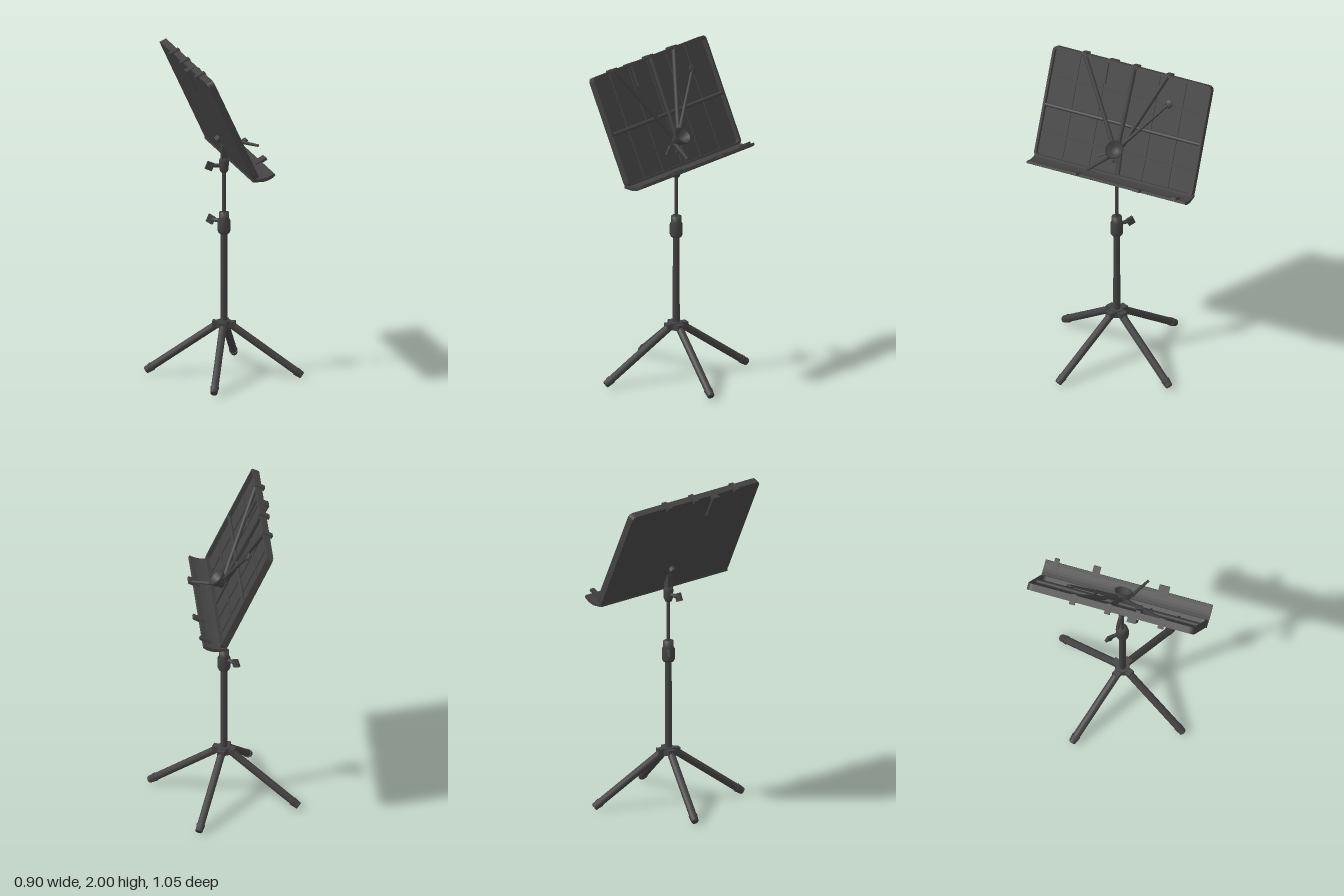
import * as THREE from 'three';

export function createModel() {
  const stand = new THREE.Group();
  stand.name = 'musicStand';
  const metal = new THREE.MeshStandardMaterial({ color: 0x424242 });
  metal.name = 'dark grey metal';
  const V = (x, y, z) => new THREE.Vector3(x, y, z);

  const add = (parent, name, geo, x = 0, y = 0, z = 0) => {
    const m = new THREE.Mesh(geo, metal);
    m.name = name;
    m.position.set(x, y, z);
    parent.add(m);
    return m;
  };
  // Round bar from a to b
  const bar = (parent, name, a, b, rA, rB = rA, sides = 10) => {
    const d = b.clone().sub(a);
    const m = add(parent, name, new THREE.CylinderGeometry(rB, rA, d.length(), sides));
    m.position.copy(a).addScaledVector(d, 0.5);
    m.quaternion.setFromUnitVectors(V(0, 1, 0), d.normalize());
    return m;
  };
  const lathe = (pts, sides = 16) =>
    new THREE.LatheGeometry(pts.map(p => new THREE.Vector2(p[0], p[1])), sides);

  // Four splayed legs with rubber feet
  const hubY = 0.335;
  for (let i = 0; i < 4; i++) {
    const a = -0.41 - i * Math.PI / 2;
    const at = (r, y) => V(Math.cos(a) * r, y, -Math.sin(a) * r);
    bar(stand, 'leg', at(0.035, hubY), at(0.47, 0.03), 0.023, 0.023);
    bar(stand, 'foot', at(0.435, 0.054), at(0.475, 0.026), 0.027, 0.021);
    const lug = add(stand, 'legHinge', new THREE.BoxGeometry(0.06, 0.035, 0.045));
    lug.position.copy(at(0.04, hubY));
    lug.rotation.y = a;
  }
  add(stand, 'legHub', new THREE.CylinderGeometry(0.04, 0.045, 0.045, 12), 0, hubY, 0);

  // Telescopic pole
  add(stand, 'lowerPole', new THREE.CylinderGeometry(0.02, 0.022, 0.6, 14), 0, 0.62, 0);
  add(stand, 'upperPole', new THREE.CylinderGeometry(0.011, 0.011, 0.4, 10), 0, 1.18, 0);
  add(stand, 'heightClamp', lathe([
    [0, 0.9], [0.032, 0.9], [0.039, 0.915], [0.039, 0.98], [0.031, 0.995], [0.031, 1.03], [0, 1.03]]));
  add(stand, 'deskClamp', lathe([
    [0, 1.28], [0.02, 1.28], [0.028, 1.3], [0.03, 1.355], [0.022, 1.37], [0, 1.37]]));
  add(stand, 'deskPost', new THREE.BoxGeometry(0.035, 0.1, 0.04), 0, 1.4, 0);

  // Wing screws
  const wingScrew = (y, angle) => {
    const g = new THREE.Group();
    g.name = 'wingScrew';
    g.position.y = y;
    g.rotation.y = angle;
    bar(g, 'screwShaft', V(0.02, 0, 0), V(0.08, 0, 0), 0.012);
    const wing = add(g, 'screwWing', new THREE.BoxGeometry(0.045, 0.05, 0.016), 0.09, 0, 0);
    wing.rotation.z = 0.4;
    stand.add(g);
  };
  wingScrew(0.975, Math.PI * 0.76);
  wingScrew(1.325, Math.PI);

  // Tilted desk: local y runs up the slope, local x points at the reader
  const desk = new THREE.Group();
  desk.name = 'desk';
  desk.position.set(0.035, 1.355, -0.005);
  desk.rotation.z = 0.434;
  stand.add(desk);
  const H = 0.69, W = 0.525;

  const roundRect = (s, x0, y0, x1, y1, r) => {
    s.moveTo(x0 + r, y0);
    s.lineTo(x1 - r, y0);
    s.quadraticCurveTo(x1, y0, x1, y0 + r);
    s.lineTo(x1, y1 - r);
    s.quadraticCurveTo(x1, y1, x1 - r, y1);
    s.lineTo(x0 + r, y1);
    s.quadraticCurveTo(x0, y1, x0, y1 - r);
    s.lineTo(x0, y0 + r);
    s.quadraticCurveTo(x0, y0, x0 + r, y0);
    return s;
  };
  const slab = (shape, depth) =>
    new THREE.ExtrudeGeometry(shape, { depth, bevelEnabled: false, curveSegments: 4 }).rotateY(Math.PI / 2);
  const outline = () => roundRect(new THREE.Shape(), -W, 0, W, H, 0.03);
  add(desk, 'deskPanel', slab(outline(), 0.015));
  const frame = outline();
  frame.holes.push(roundRect(new THREE.Path(), -W + 0.014, 0.014, W - 0.014, H - 0.014, 0.02));
  add(desk, 'deskRim', slab(frame, 0.042));

  // Shallow ribs dividing the panel into cells
  for (let i = 1; i < 6; i++)
    add(desk, 'verticalRib', new THREE.BoxGeometry(0.012, H - 0.02, 0.012), 0.016, H / 2, -W + i * W / 3);
  for (const y of [0.15, 0.5])
    add(desk, 'horizontalRib', new THREE.BoxGeometry(0.012, 0.012, 2 * W - 0.02), 0.016, y, 0);
  bar(desk, 'crossBar', V(0.03, 0.325, -W + 0.005), V(0.03, 0.325, W - 0.005), 0.012);

  // Fan of struts hooked over the top edge
  for (const z of [0.32, -0.015, -0.235]) {
    bar(desk, 'fanStrut', V(0.042, 0.19, z * 0.1), V(0.036, H, z), 0.014);
    add(desk, 'strutHook', new THREE.BoxGeometry(0.065, 0.02, 0.035), 0.015, H - 0.002, z);
  }
  bar(desk, 'centreStrut', V(0.03, 0.02, -0.03), V(0.03, 0.2, -0.02), 0.01);

  // Clip hanging over the top edge, front and back
  add(desk, 'pageClip', new THREE.BoxGeometry(0.014, 0.13, 0.028), 0.045, H - 0.08, 0.165);
  add(desk, 'pageClipBack', new THREE.BoxGeometry(0.014, 0.14, 0.055), -0.022, H - 0.07, 0.14);
  add(desk, 'pageClipTop', new THREE.BoxGeometry(0.06, 0.012, 0.055), 0.0, H - 0.004, 0.14);

  // Curved ledge that holds the pages
  const ledge = new THREE.Shape();
  ledge.moveTo(0.03, 1.35);
  ledge.lineTo(0.09, 1.347);
  ledge.quadraticCurveTo(0.14, 1.352, 0.172, 1.382);
  ledge.lineTo(0.165, 1.396);
  ledge.quadraticCurveTo(0.12, 1.366, 0.06, 1.366);
  ledge.lineTo(0.03, 1.372);
  const ledgeGeo = new THREE.ExtrudeGeometry(ledge, { depth: 2 * W, bevelEnabled: false, curveSegments: 6 });
  add(stand, 'pageLedge', ledgeGeo, 0, 0, -W - 0.005);
  for (const [z, w, x] of [[-0.215, 0.045, 0.172], [0.21, 0.065, 0.165], [-0.46, 0.03, 0.152]]) {
    const c = add(stand, 'ledgeClip', new THREE.BoxGeometry(0.075, 0.016, w), x, 1.395, z);
    c.rotation.z = 0.5;
  }

  // Cup-shaped pivot in the middle of the desk
  const cup = add(stand, 'pivotCup', lathe([
    [0, -0.05], [0.025, -0.05], [0.035, -0.02], [0.058, 0.03], [0.05, 0.033], [0.03, 0], [0, -0.005]]),
    0.025, 1.53, -0.005);
  cup.rotation.z = -0.75;
  bar(stand, 'pivotStem', V(-0.05, 1.48, -0.005), V(0.01, 1.52, -0.005), 0.022);

  // Page arms reaching out from the pivot
  bar(stand, 'lowerPageArm', V(-0.02, 1.495, 0.0), V(0.185, 1.46, 0.11), 0.014, 0.008);
  bar(stand, 'shortPageArm', V(-0.02, 1.5, 0.02), V(0.02, 1.45, 0.12), 0.009, 0.006);
  bar(stand, 'upperPageArm', V(0.0, 1.56, -0.03), V(-0.12, 1.87, -0.295), 0.012, 0.008);
  const tip = add(stand, 'armTip', new THREE.SphereGeometry(0.026, 12, 8), -0.12, 1.865, -0.29);
  tip.scale.x = 0.35;
  tip.rotation.z = 0.43;

  return stand;
}
